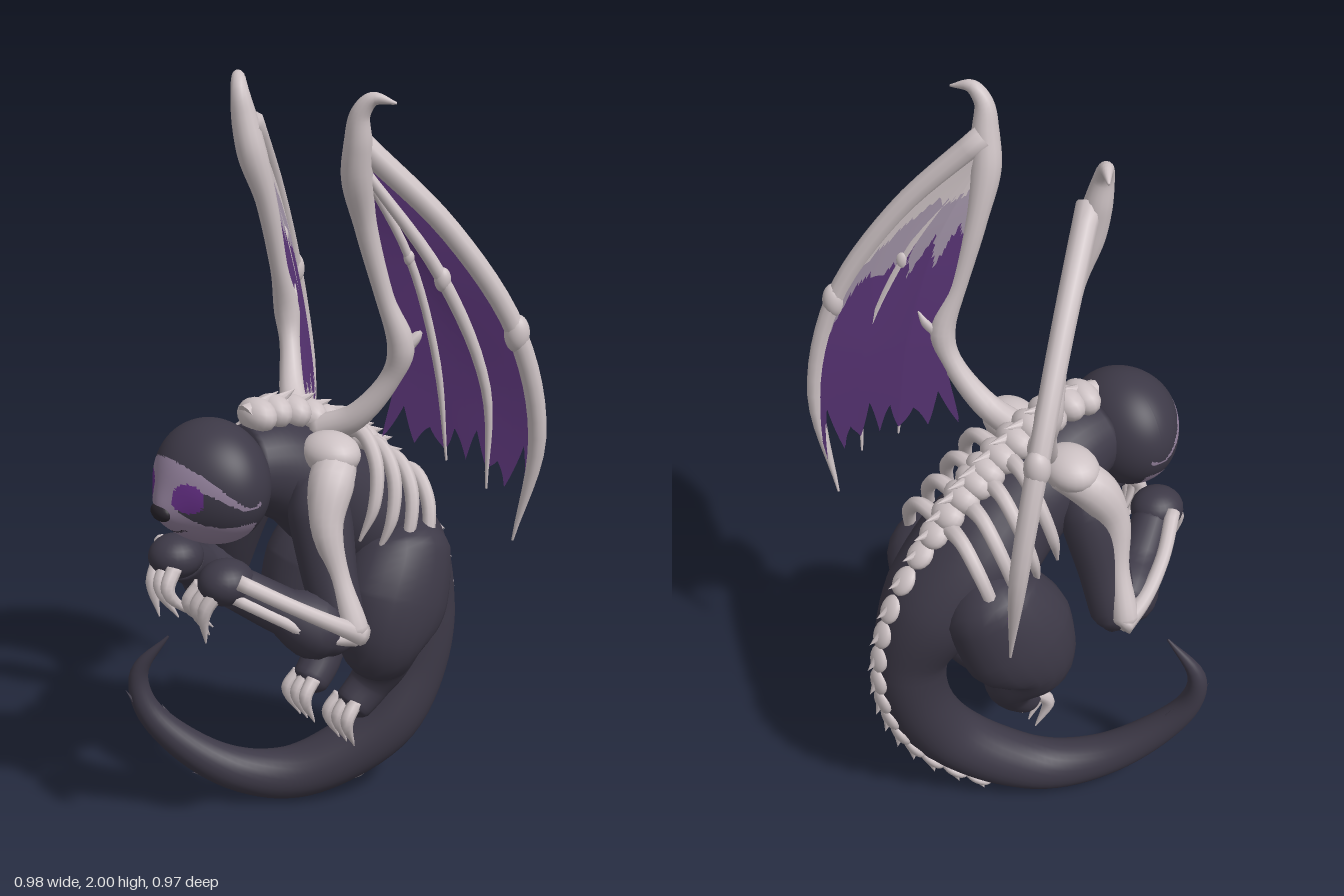
import * as THREE from 'three';

const mat = (name, color, side = THREE.FrontSide) => {
  const m = new THREE.MeshStandardMaterial({ color, side });
  m.name = name;
  return m;
};
const V = (x, y, z) => new THREE.Vector3(x, y, z);

// Position and cross-section axes on a curve: S sideways, N outward
function frame(curve, t, ref) {
  const P = curve.getPoint(t), T = curve.getTangent(t);
  const S = ref.clone().addScaledVector(T, -ref.dot(T)).normalize();
  return { P, T, S, N: S.clone().cross(T) };
}

// Curve and radii through points [x, y, z, rx, rn]; s = -1 mirrors in x
function spline(pts, s = 1) {
  return {
    path: new THREE.CatmullRomCurve3(pts.map(p => V(s * p[0], p[1], p[2]))),
    size: new THREE.CatmullRomCurve3(pts.map(p => V(p[3], p[4] ?? p[3], 0))),
  };
}

// Smooth closed tube with changing elliptical cross-section
function loft(name, material, pts, s = 1, sides = 12, ref = V(1, 0, 0)) {
  const { path, size } = spline(pts, s), rows = (pts.length - 1) * 6, pos = [], idx = [];
  for (let i = 0; i <= rows; i++) {
    const { P, S, N } = frame(path, i / rows, ref), r = size.getPoint(i / rows);
    for (let j = 0; j < sides; j++) {
      const a = (j / sides) * Math.PI * 2;
      const v = P.clone().addScaledVector(S, Math.cos(a) * Math.max(r.x, 0.001))
        .addScaledVector(N, Math.sin(a) * Math.max(r.y, 0.001));
      pos.push(v.x, v.y, v.z);
      if (i < rows) {
        const k = (j + 1) % sides, A = i * sides + j, B = i * sides + k;
        idx.push(A, A + sides, B, B, A + sides, B + sides);
      }
    }
  }
  const first = path.getPoint(0), last = path.getPoint(1), n = pos.length / 3;
  pos.push(first.x, first.y, first.z, last.x, last.y, last.z);
  for (let j = 0; j < sides; j++) {
    const k = (j + 1) % sides, b = rows * sides;
    idx.push(n, j, k, n + 1, b + k, b + j);
  }
  const g = new THREE.BufferGeometry();
  g.setAttribute('position', new THREE.Float32BufferAttribute(pos, 3));
  g.setIndex(idx);
  g.computeVertexNormals();
  const mesh = new THREE.Mesh(g, material);
  mesh.name = name;
  return mesh;
}

function blob(name, material, p, r) {
  const mesh = new THREE.Mesh(new THREE.SphereGeometry(1, 24, 16), material);
  mesh.position.set(...p);
  mesh.scale.set(...r);
  mesh.name = name;
  return mesh;
}

// Index a geometry from triangle lists, one list per material
function setBuckets(g, buckets) {
  g.setIndex(buckets.flat());
  buckets.reduce((o, b, m) => (g.addGroup(o, b.length, m), o + b.length), 0);
}

export function createModel() {
  const fur = mat('dark fur', 0x3d3947), bone = mat('bone', 0xcdc2c4, THREE.DoubleSide), face = mat('face fur', 0x94829d);
  const iris = mat('eye purple', 0x652f86), nose = mat('nose black', 0x28242c);
  const skin = mat('wing purple', 0x5a3577, THREE.DoubleSide);
  const fade = mat('wing lilac', 0xa294a8, THREE.DoubleSide);
  const root = new THREE.Group();
  root.name = 'wingedSloth';

  // Torso running on into the curled tail
  const bodyPts = [
    [0, 1.07, 0.24, 0.1], [0, 1.05, 0.14, 0.125, 0.125], [0, 1.0, 0.04, 0.15, 0.135],
    [0, 0.93, -0.05, 0.15, 0.15], [0, 0.84, -0.16, 0.17, 0.155], [0.01, 0.72, -0.28, 0.15, 0.135],
    [0.03, 0.56, -0.345, 0.1], [0.035, 0.39, -0.33, 0.092], [0.02, 0.23, -0.25, 0.088],
    [-0.05, 0.12, -0.12, 0.082], [-0.12, 0.075, 0, 0.073], [-0.2, 0.1, 0.13, 0.06],
    [-0.28, 0.19, 0.25, 0.047], [-0.335, 0.3, 0.325, 0.034], [-0.345, 0.4, 0.335, 0.025], [-0.28, 0.515, 0.28, 0.003]];
  root.add(loft('bodyAndTail', fur, bodyPts, 1, 28));
  const body = spline(bodyPts), at = k => k / (bodyPts.length - 1);

  // Vertebrae with backward spikes, shrinking down the tail
  const knob = new THREE.SphereGeometry(1, 16, 10), spike = new THREE.ConeGeometry(0.5, 1.7, 10);
  for (let i = 0; i < 24; i++) {
    const k = 0.4 + 8.45 * (i / 23), f = frame(body.path, at(k), V(1, 0, 0));
    const shrink = THREE.MathUtils.smoothstep(k, 2.6, 5.2), w = 0.064 - 0.031 * shrink;
    const v = new THREE.Group();
    v.name = 'vertebra';
    v.quaternion.setFromRotationMatrix(new THREE.Matrix4().makeBasis(f.S, f.N, f.T.clone().negate()));
    v.position.copy(f.P).addScaledVector(f.N, body.size.getPoint(at(k)).y + 0.02 * (1 - shrink));
    const b = new THREE.Mesh(knob, bone), c = new THREE.Mesh(spike, bone);
    b.name = 'vertebraBody';
    b.scale.set(w, 0.044 - 0.026 * shrink, 0.042);
    c.name = 'vertebraSpike';
    c.scale.set(w * 0.95, 0.064 - 0.036 * shrink, w * 1.1);
    c.position.set(0, w * 0.45, -0.015);
    c.rotation.x = -0.95;
    v.add(b, c);
    root.add(v);
  }
  // Fur tufts near the tail tip
  for (const k of [11.3, 12.4, 13.2]) {
    const f = frame(body.path, at(k), V(1, 0, 0)), r = body.size.getPoint(at(k)).y;
    const c = new THREE.Mesh(new THREE.ConeGeometry(r * 0.45, 0.1, 8), fur);
    c.name = 'tailTuft';
    c.position.copy(f.P).addScaledVector(f.N, (k === 12.4 ? -0.75 : 0.75) * r);
    c.quaternion.setFromUnitVectors(V(0, 1, 0), f.T.clone().addScaledVector(f.N, k === 12.4 ? -0.25 : 0.25).normalize());
    root.add(c);
  }

  // Head with the face pattern assigned to faces by rule
  const hg = new THREE.SphereGeometry(1, 112, 84), hp = hg.attributes.position;
  for (let i = 0; i < hp.count; i++) {
    const x = hp.getX(i), y = hp.getY(i), z = hp.getZ(i), front = Math.max(0, z);
    const snout = front * 0.03 * Math.exp(-((x / 0.4) ** 2) - ((y + 0.4) / 0.4) ** 2);
    hp.setXYZ(i, x * 0.168 * (1 - 0.15 * front * front), 1.05 + y * 0.157, 0.318 + z * (z > 0 ? 0.147 : 0.13) + snout);
  }
  hg.computeVertexNormals();
  const pick = (x, y, z) => {
    const ax = Math.abs(x), dx = ax - 0.105, dy = y - 1.027;
    const p = dx * 0.85 - dy * 0.53, q = dx * 0.53 + dy * 0.85;
    if (z < 0.29 || (ax / 0.168) ** 2 + ((y - 1.008) / 0.125) ** 2 > 1) return 0;
    if (((ax - 0.075) / 0.037) ** 2 + ((y - 1.05) / 0.037) ** 2 < 1) return 2;
    if ((p / 0.07) ** 2 + (q / 0.04) ** 2 < 1) return 0;
    if (ax < 0.055 && Math.abs(y - 0.948 - ax * ax * 5) < 0.002) return 3;
    return 1;
  };
  const buckets = [[], [], [], []], hi = hg.index.array;
  for (let i = 0; i < hi.length; i += 3) {
    const t = [hi[i], hi[i + 1], hi[i + 2]];
    const mid = f => t.reduce((sum, v) => sum + f.call(hp, v), 0) / 3;
    buckets[pick(mid(hp.getX), mid(hp.getY), mid(hp.getZ))].push(...t);
  }
  setBuckets(hg, buckets);
  const head = new THREE.Mesh(hg, [fur, face, iris, nose]);
  head.name = 'head';
  root.add(head, blob('nose', nose, [0, 1.003, 0.472], [0.037, 0.024, 0.02]));

  for (const s of [1, -1]) {
    const side = new THREE.Group();
    side.name = s > 0 ? 'leftSide' : 'rightSide';
    root.add(side);
    const add = (name, m, pts, sides, ref) => side.add(loft(name, m, pts, s, sides, ref));
    const ball = (name, m, p, r) => side.add(blob(name, m, [s * p[0], p[1], p[2]], r));

    // Hind leg, foot and claws
    add('hindLeg', fur, [[0.09, 0.87, -0.21, 0.03], [0.125, 0.79, -0.195, 0.125, 0.135], [0.16, 0.67, -0.14, 0.125, 0.16],
      [0.165, 0.57, -0.1, 0.11, 0.125], [0.13, 0.48, -0.13, 0.075, 0.08], [0.105, 0.41, -0.11, 0.058],
      [0.093, 0.355, -0.06, 0.052], [0.09, 0.33, -0.03, 0.01]], 20);
    for (let k = -1; k <= 1; k++) {
      const x = 0.09 + k * 0.032;
      add('footClaw', bone, [[x, 0.375, -0.045, 0.02], [x + k * 0.008, 0.33, -0.01, 0.018], [x - 0.004, 0.245, -0.045, 0.002]], 8);
    }

    // Arm, hand and claws
    add('upperArm', fur, [[0.11, 1.04, 0.1, 0.05], [0.15, 0.95, 0.1, 0.08], [0.205, 0.8, 0.11, 0.07],
      [0.25, 0.68, 0.11, 0.06], [0.255, 0.62, 0.12, 0.01]], 16);
    add('forearm', fur, [[0.265, 0.65, 0.08, 0.02], [0.245, 0.67, 0.13, 0.06], [0.185, 0.74, 0.24, 0.06], [0.12, 0.81, 0.34, 0.055]], 16);
    ball('hand', fur, [0.11, 0.825, 0.36], [0.07, 0.058, 0.072]);
    for (let k = -1; k <= 1; k++) {
      const x = 0.08 + k * 0.035;
      add('handClaw', bone, [[x + 0.015, 0.815, 0.4, 0.02], [x, 0.765, 0.43, 0.018], [x - 0.012, 0.675, 0.385 + k * 0.035, 0.002]], 8);
    }
    // Arm bones worn on the outside
    add('upperArmBone', bone, [[0.13, 1.1, 0.02, 0.045], [0.18, 1.05, 0.085, 0.058], [0.215, 0.95, 0.13, 0.042],
      [0.255, 0.82, 0.12, 0.027], [0.3, 0.7, 0.11, 0.036], [0.31, 0.665, 0.11, 0.008]], 14);
    add('outerForearmBone', bone, [[0.31, 0.68, 0.09, 0.03], [0.3, 0.725, 0.17, 0.021], [0.25, 0.785, 0.27, 0.019], [0.17, 0.845, 0.365, 0.02]], 10);
    add('innerForearmBone', bone, [[0.295, 0.67, 0.1, 0.024], [0.275, 0.69, 0.2, 0.016], [0.225, 0.74, 0.28, 0.015], [0.16, 0.8, 0.37, 0.016]], 10);
    ball('shoulderBlade', bone, [0.13, 1.1, 0.05], [0.085, 0.055, 0.07]);

    // Ribs wrapping the back
    for (let i = 0; i < 4; i++) {
      const z = -0.065 - i * 0.06, y = 1.115 - i * 0.048;
      add('rib', bone, [[0.02, y, z, 0.024], [0.1, y + 0.005, z - 0.012, 0.02], [0.165, y - 0.06, z - 0.005, 0.019],
        [0.19, y - 0.16, z + 0.02, 0.016], [0.17, y - 0.255, z + 0.05, 0.004]], 8, V(0, 0, 1));
    }

    // Wing bones: arm, hook and three fingers
    add('wingArm', bone, [[0.04, 1.13, 0.02, 0.04], [0.13, 1.18, -0.03, 0.034], [0.205, 1.29, -0.08, 0.027], [0.23, 1.37, -0.09, 0.034],
      [0.212, 1.5, -0.05, 0.023], [0.197, 1.68, 0, 0.028], [0.207, 1.8, 0.035, 0.038], [0.222, 1.88, 0.045, 0.034],
      [0.235, 1.95, 0.05, 0.024], [0.262, 1.985, 0.035, 0.017], [0.31, 1.978, 0.005, 0.003]], 14);
    add('wingElbowSpur', bone, [[0.225, 1.36, -0.09, 0.024], [0.25, 1.4, -0.125, 0.014], [0.26, 1.43, -0.14, 0.002]], 8);
    const fingers = [
      [[0.21, 1.83, 0.03, 0.02], [0.2, 1.66, -0.01, 0.01], [0.22, 1.36, -0.09, 0.01], [0.175, 1.12, -0.08, 0.006]],
      [[0.21, 1.83, 0.03, 0.01], [0.26, 1.6, -0.085, 0.011], [0.285, 1.33, -0.16, 0.01], [0.285, 1.07, -0.2, 0.003]],
      [[0.21, 1.83, 0.03, 0.012], [0.32, 1.55, -0.14, 0.017], [0.372, 1.27, -0.245, 0.013], [0.36, 1.0, -0.27, 0.003]],
      [[0.21, 1.88, 0.03, 0.03], [0.345, 1.67, -0.14, 0.027], [0.442, 1.42, -0.275, 0.026], [0.462, 1.15, -0.34, 0.023], [0.405, 0.86, -0.325, 0.003]]];
    fingers.slice(1).forEach((f, i) => {
      add('wingFinger', bone, f, 10);
      const j = f[i === 2 ? 2 : 1], r = j[3] * 1.2;
      ball('wingKnuckle', bone, j, [r, r * 1.5, r]);
    });

    // Membrane faces stretched over the fingers: a hem rule cuts them, a paint rule picks the material
    const curves = fingers.map(f => spline(f, s).path);
    const tooth = (u, n) => Math.abs(((u * n) % 1) - 0.5) * 2, ease = THREE.MathUtils.smoothstep;
    const hem = u => 0.99 - 0.08 * u / 3 - 0.13 * (1 - tooth(u, 2)) * (0.7 + 0.3 * Math.sin(u * 5));
    const sheet = (name, shift, paint) => {
      const cols = 72, rows = 36, pos = [], parts = [[], [], []];
      for (let i = 0; i <= cols; i++) {
        const u = (i / cols) * 3, a = Math.min(2, Math.floor(u));
        for (let j = 0; j <= rows; j++) {
          const t = hem(u) * (j / rows);
          const p = curves[a].getPoint(t).lerp(curves[a + 1].getPoint(t), u - a);
          pos.push(p.x - s * 0.77 * shift, p.y, p.z - 0.63 * shift);
          const k = i * (rows + 1) + j;
          if (i < cols && j < rows) parts[paint(u, t)].push(k, k + 1, k + rows + 1, k + 1, k + rows + 2, k + rows + 1);
        }
      }
      const g = new THREE.BufferGeometry();
      g.setAttribute('position', new THREE.Float32BufferAttribute(pos, 3));
      setBuckets(g, parts);
      g.computeVertexNormals();
      const m = new THREE.Mesh(g, [skin, fade, bone]);
      m.name = name;
      side.add(m);
    };
    sheet('wingMembraneFront', 0.003, () => 0);
    sheet('wingMembraneBack', 0.015, (u, t) => {
      if (t < 0.13 + 0.3 * ease(u, 2.2, 3)) return 2;
      return t < 0.27 + 0.12 * tooth(u, 1.3) + 0.3 * ease(u, 2.3, 3) ? 1 : 0;
    });
  }
  return root;
}
